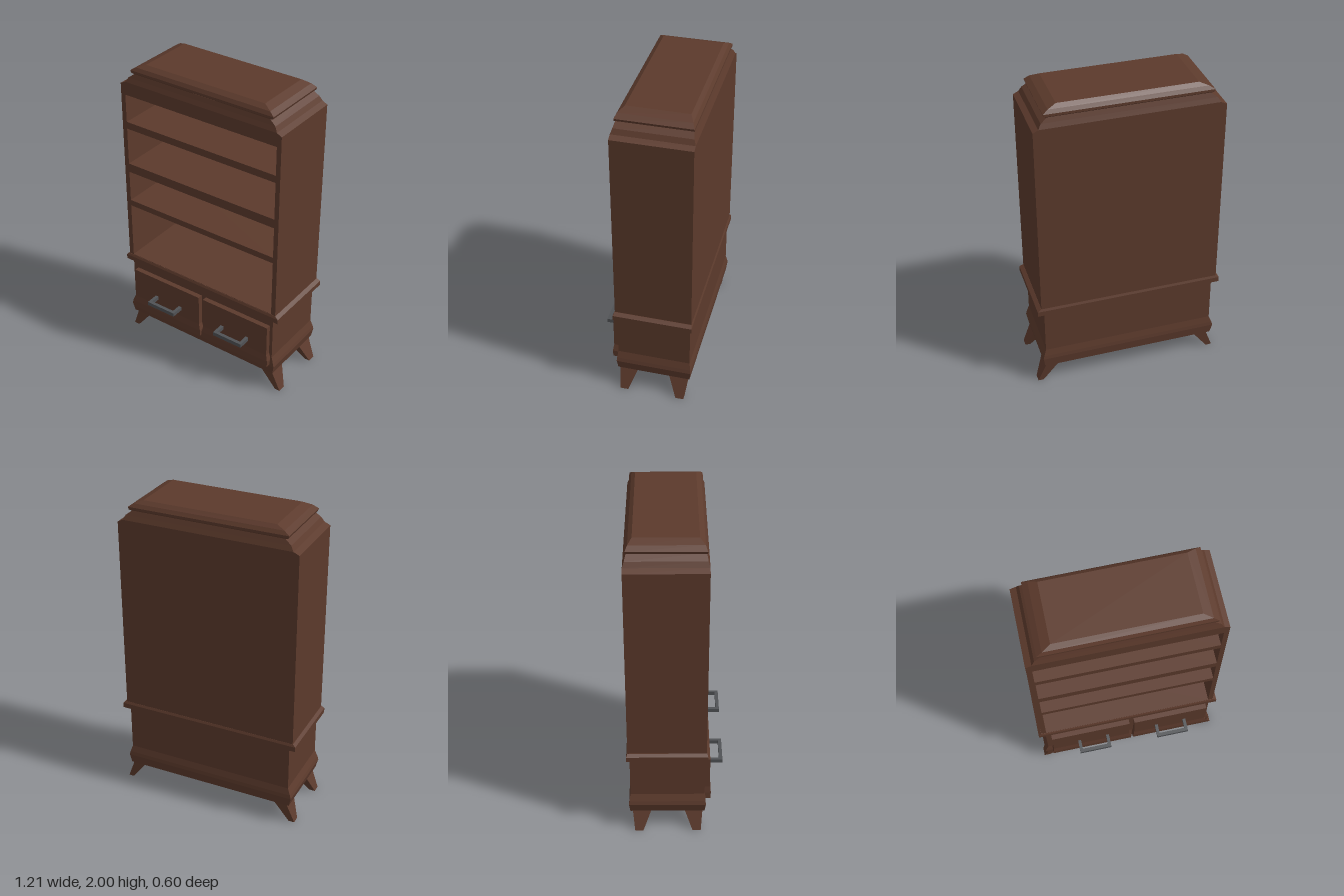
import * as THREE from 'three';

const wood = new THREE.MeshStandardMaterial({ color: 0x5c3a2c });
wood.name = 'walnutWood';
const metal = new THREE.MeshStandardMaterial({ color: 0x505255 });
metal.name = 'darkMetal';

// Flat-faced solid through stacked rectangles, each [y, x0, x1, z0, z1], bottom to top
function stack(sections) {
  const rings = sections.map(([y, x0, x1, z0, z1]) =>
    [[x0, y, z1], [x1, y, z1], [x1, y, z0], [x0, y, z0]]);
  const pos = [];
  const quad = (a, b, c, d) => pos.push(...a, ...b, ...c, ...a, ...c, ...d);
  for (let i = 0; i < rings.length - 1; i++) {
    const lo = rings[i], hi = rings[i + 1];
    for (let k = 0; k < 4; k++) {
      const n = (k + 1) % 4;
      quad(lo[k], lo[n], hi[n], hi[k]);
    }
  }
  const b = rings[0], t = rings[rings.length - 1];
  quad(b[3], b[2], b[1], b[0]);
  quad(t[0], t[1], t[2], t[3]);
  const g = new THREE.BufferGeometry();
  g.setAttribute('position', new THREE.Float32BufferAttribute(pos, 3));
  g.computeVertexNormals();
  return g;
}

function rectangle(path, x0, x1, y0, y1) {
  path.moveTo(x0, y0);
  path.lineTo(x1, y0);
  path.lineTo(x1, y1);
  path.lineTo(x0, y1);
  path.closePath();
  return path;
}

export function createModel() {
  const model = new THREE.Group();
  model.name = 'bookcase';
  const add = (name, geometry, material = wood, parent = model) => {
    const mesh = new THREE.Mesh(geometry, material);
    mesh.name = name;
    parent.add(mesh);
    return mesh;
  };
  const box = (name, x0, x1, y0, y1, z0, z1, material, parent) =>
    add(name, new THREE.BoxGeometry(x1 - x0, y1 - y0, z1 - z0), material, parent)
      .position.set((x0 + x1) / 2, (y0 + y1) / 2, (z0 + z1) / 2);

  // Upper case with four open compartments
  const front = rectangle(new THREE.Shape(), -0.585, 0.565, 0.58, 1.86);
  for (const [y0, y1] of [[0.617, 1.0], [1.04, 1.25], [1.31, 1.558], [1.605, 1.79]]) {
    front.holes.push(rectangle(new THREE.Path(), -0.553, 0.535, y0, y1));
  }
  add('shelfCase', new THREE.ExtrudeGeometry(front, { depth: 0.47, bevelEnabled: false }))
    .position.z = -0.28;
  box('backPanel', -0.585, 0.565, 0.58, 1.86, -0.291, -0.28);

  // Stepped crown and moulded cap
  add('crown', stack([
    [1.86, -0.585, 0.565, -0.291, 0.19],
    [1.877, -0.548, 0.532, -0.291, 0.19],
    [1.907, -0.53, 0.515, -0.28, 0.18],
    [1.937, -0.49, 0.475, -0.27, 0.172],
  ]));
  add('cap', stack([
    [1.935, -0.492, 0.477, -0.268, 0.17],
    [1.943, -0.51, 0.495, -0.276, 0.177],
    [1.958, -0.515, 0.5, -0.276, 0.177],
    [1.98, -0.48, 0.468, -0.262, 0.165],
    [2.0, -0.427, 0.415, -0.238, 0.135],
  ]));

  // Waist moulding between the shelves and the drawers
  add('waistMoulding', stack([
    [0.568, -0.605, 0.59, -0.298, 0.198],
    [0.6, -0.605, 0.59, -0.298, 0.198],
    [0.615, -0.587, 0.567, -0.292, 0.192],
  ]));

  // Lower case flaring out near the base
  add('drawerCase', stack([
    [0.14, -0.57, 0.555, -0.283, 0.183],
    [0.2, -0.585, 0.567, -0.29, 0.19],
    [0.225, -0.578, 0.561, -0.288, 0.188],
    [0.27, -0.56, 0.546, -0.28, 0.182],
    [0.57, -0.56, 0.546, -0.28, 0.182],
  ]));

  // Drawers with bar handles
  for (const [side, x0, x1, h0] of [['right', -0.525, 0.0, -0.355], ['left', 0.033, 0.525, 0.175]]) {
    const drawer = new THREE.Group();
    drawer.name = side + 'Drawer';
    model.add(drawer);
    add('drawerFront', stack([
      [0.21, x0 - 0.009, x1 + 0.01, 0.15, 0.22],
      [0.255, x0 - 0.007, x1 + 0.012, 0.15, 0.222],
      [0.3, x0, x1, 0.15, 0.215],
      [0.515, x0, x1, 0.15, 0.215],
    ]), wood, drawer);
    const h1 = h0 + 0.212;
    box('handleBar', h0, h1, 0.35, 0.376, 0.278, 0.3, metal, drawer);
    box('handlePost', h0, h0 + 0.02, 0.35, 0.376, 0.21, 0.278, metal, drawer);
    box('handlePost', h1 - 0.02, h1, 0.35, 0.376, 0.21, 0.278, metal, drawer);
  }

  // Tapered feet splayed out to the sides
  const footX = [[0, -0.6, -0.562, -0.545, -0.455], [0, 0.565, 0.6, 0.455, 0.542]];
  const footZ = [[0, 0.108, 0.16, 0.052, 0.172], [0, -0.255, -0.203, -0.27, -0.145]];
  for (const [, bx0, bx1, tx0, tx1] of footX) {
    for (const [, bz0, bz1, tz0, tz1] of footZ) {
      add('foot', stack([
        [0, bx0, bx1, bz0, bz1],
        [0.145, tx0, tx1, tz0, tz1],
      ]));
    }
  }
  return model;
}
